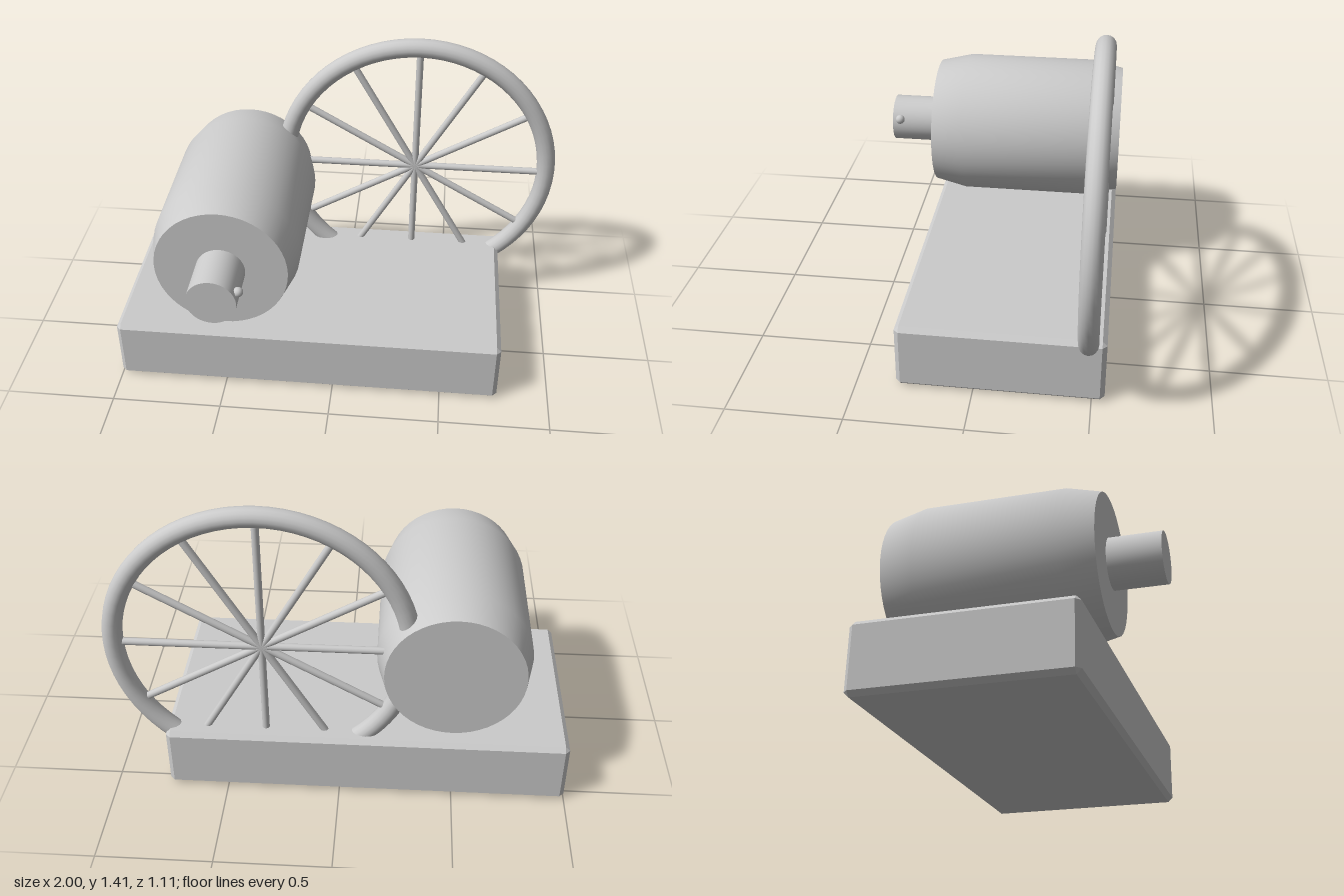
import * as THREE from 'three';
import { ConvexGeometry } from 'three/addons/geometries/ConvexGeometry.js';
import { toCreasedNormals } from 'three/addons/utils/BufferGeometryUtils.js';

const grey = new THREE.MeshStandardMaterial({ color: 0xcccccc });

// Box with flat chamfers on all edges, as the hull of 24 points
function chamferedBox(w, h, d, c) {
  const pts = [];
  for (const sx of [-1, 1]) for (const sy of [-1, 1]) for (const sz of [-1, 1]) {
    for (let axis = 0; axis < 3; axis++) {
      const half = [w / 2, h / 2, d / 2].map((v, i) => (i === axis ? v : v - c));
      pts.push(new THREE.Vector3(sx * half[0], sy * half[1], sz * half[2]));
    }
  }
  return new ConvexGeometry(pts);
}

// Solid of revolution along z from [radius, z] points
function turned(profile, segments) {
  const geo = new THREE.LatheGeometry(profile.map(([r, z]) => new THREE.Vector2(r, z)), segments);
  geo.rotateX(Math.PI / 2);
  return toCreasedNormals(geo, 0.5);
}

export function createModel() {
  const model = new THREE.Group();
  const add = (name, geometry, x, y, z, parent = model) => {
    const mesh = new THREE.Mesh(geometry, grey);
    mesh.name = name;
    mesh.position.set(x, y, z);
    parent.add(mesh);
    return mesh;
  };

  // Chamfered plinth
  add('base', chamferedBox(1.765, 0.297, 0.885, 0.02), -0.118, 0.1485, -0.1125);

  // Barrel with tapered ends
  add('drum', turned([[0, -0.555], [0.296, -0.555], [0.33, -0.41],
    [0.33, 0.185], [0.296, 0.33], [0, 0.33]], 48), -0.485, 0.667, 0);

  // Shaft and its small pin head
  add('shaft', turned([[0, 0.3], [0.109, 0.3], [0.109, 0.555], [0, 0.555]], 32), -0.485, 0.667, 0);
  add('pin', new THREE.SphereGeometry(0.022, 16, 12), -0.373, 0.705, 0.516);

  // Spoked wheel, partly sunk in the base
  const wheel = new THREE.Group();
  wheel.name = 'wheel';
  wheel.position.set(0.326, 0.742, -0.478);
  model.add(wheel);
  add('rim', new THREE.TorusGeometry(0.627, 0.043, 16, 72), 0, 0, 0, wheel);
  for (let i = 0; i < 6; i++) {
    const spoke = add('spoke', new THREE.CylinderGeometry(0.016, 0.016, 1.25, 12), 0, 0, 0, wheel);
    spoke.rotation.z = (i * Math.PI) / 6;
  }
  return model;
}
